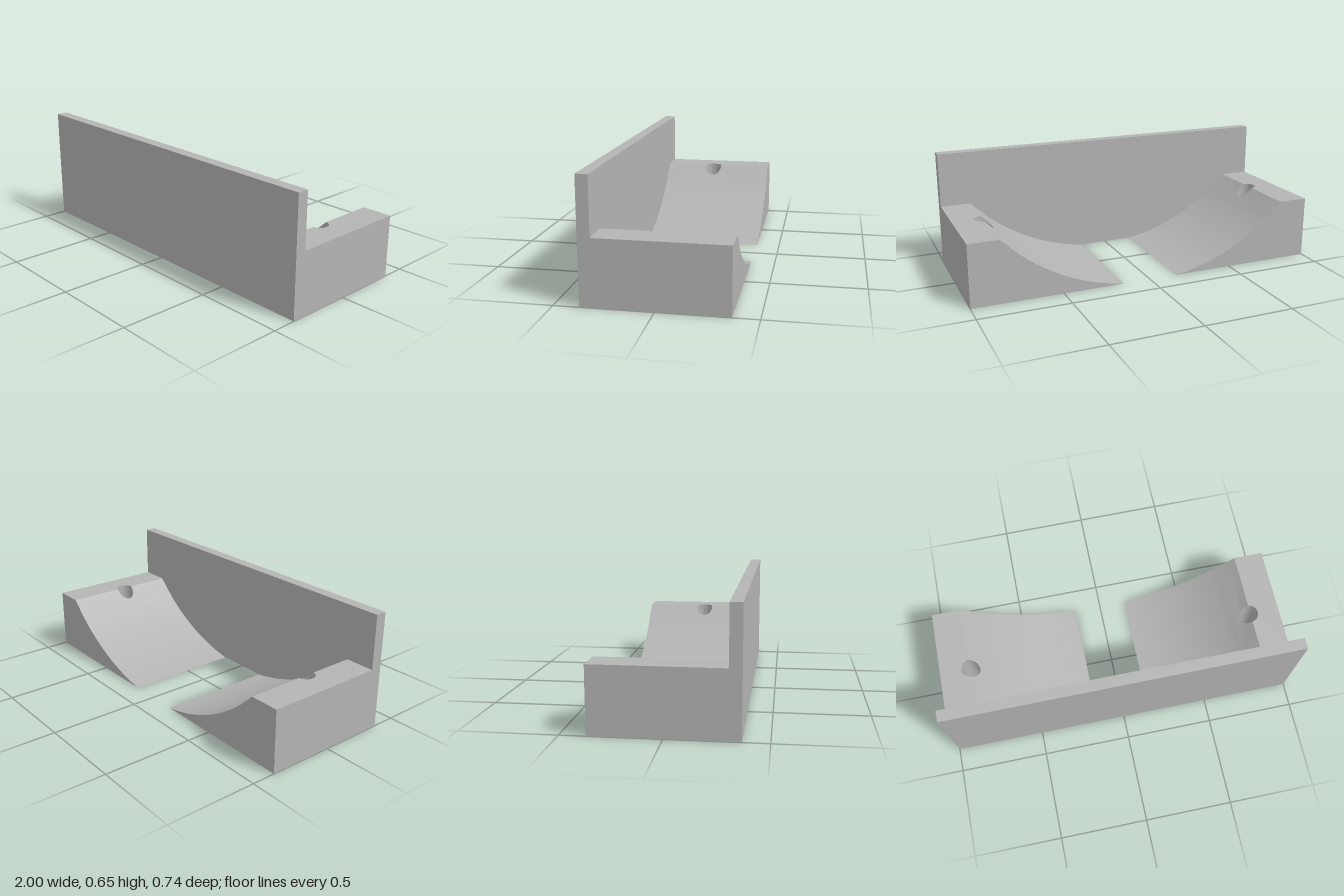
import * as THREE from 'three';
import { mergeGeometries, toCreasedNormals } from 'three/addons/utils/BufferGeometryUtils.js';

const TOP = 0.652, BLOCK_TOP = 0.348;           // plate and block heights
const BACK = -0.368, FRONT = 0.368, PLATE_Z = 0.305;
const INNER = 0.158, SPLIT = 0.74, EDGE = 0.832; // cradle start, hole zone, cradle rim
const HOLE_X = 0.826, HOLE_R = 0.051;

// Cradle arc centred on x = 0, through (INNER, 0) and (EDGE, BLOCK_TOP)
const CY = (EDGE ** 2 - INNER ** 2 + BLOCK_TOP ** 2) / (2 * BLOCK_TOP);
const R = Math.hypot(INNER, CY);
const height = (x) => (x >= EDGE ? BLOCK_TOP : CY - Math.sqrt(R * R - x * x));

const shapeOf = (points, side) =>
  new THREE.Shape(points.map(([x, y]) => new THREE.Vector2(side * x, y)));

// Arc of the bolt hole, as plan points
function holeArc(from, to, steps = 20) {
  return Array.from({ length: steps + 1 }, (_, i) => {
    const a = from + ((to - from) * i) / steps;
    return [HOLE_X + HOLE_R * Math.cos(a), HOLE_R * Math.sin(a)];
  });
}

// Plan outline raised to the block's height at each point
function raisePlan(points, side) {
  const g = new THREE.ExtrudeGeometry(shapeOf(points, side), { depth: 1, bevelEnabled: false });
  g.rotateX(-Math.PI / 2);
  const p = g.attributes.position;
  for (let i = 0; i < p.count; i++) {
    p.setY(i, p.getY(i) > 0.5 ? height(Math.abs(p.getX(i))) : 0);
  }
  return g;
}

function cradleBlock(side) {
  // Curved wedge without hole, extruded along z
  const profile = [];
  for (let i = 0; i <= 20; i++) {
    const x = INNER + ((SPLIT - INNER) * i) / 20;
    profile.push([x, i === 0 ? 0 : height(x)]);
  }
  profile.push([SPLIT, 0]);
  const wedge = new THREE.ExtrudeGeometry(shapeOf(profile, side), { depth: PLATE_Z - BACK, bevelEnabled: false });
  wedge.translate(0, 0, BACK);

  // Upper slope and flat shoulder, each notched by part of the hole (plan y = -z)
  const lo = -PLATE_Z, hi = -BACK;
  const a = Math.acos((EDGE - HOLE_X) / HOLE_R);
  const slope = raisePlan(
    [[SPLIT, lo], [EDGE, lo], ...holeArc(-a, a - 2 * Math.PI), [EDGE, hi], [SPLIT, hi]], side);
  const shoulder = raisePlan(
    [[EDGE, lo], ...holeArc(-a, a), [EDGE, hi], [1, hi], [1, lo]], side);

  return toCreasedNormals(mergeGeometries([wedge, slope, shoulder]), 0.5);
}

export function createModel() {
  const group = new THREE.Group();
  group.name = 'cradleBracket';
  const grey = new THREE.MeshStandardMaterial({ color: 0xb4b4b4 });
  grey.name = 'grey';

  // Upright front plate
  const plate = new THREE.Mesh(new THREE.BoxGeometry(2, TOP, FRONT - PLATE_Z), grey);
  plate.position.set(0, TOP / 2, (FRONT + PLATE_Z) / 2);
  plate.name = 'frontPlate';
  group.add(plate);

  // Mirrored cradle blocks
  for (const side of [1, -1]) {
    const block = new THREE.Mesh(cradleBlock(side), grey);
    block.name = side > 0 ? 'leftCradleBlock' : 'rightCradleBlock';
    group.add(block);
  }
  return group;
}
